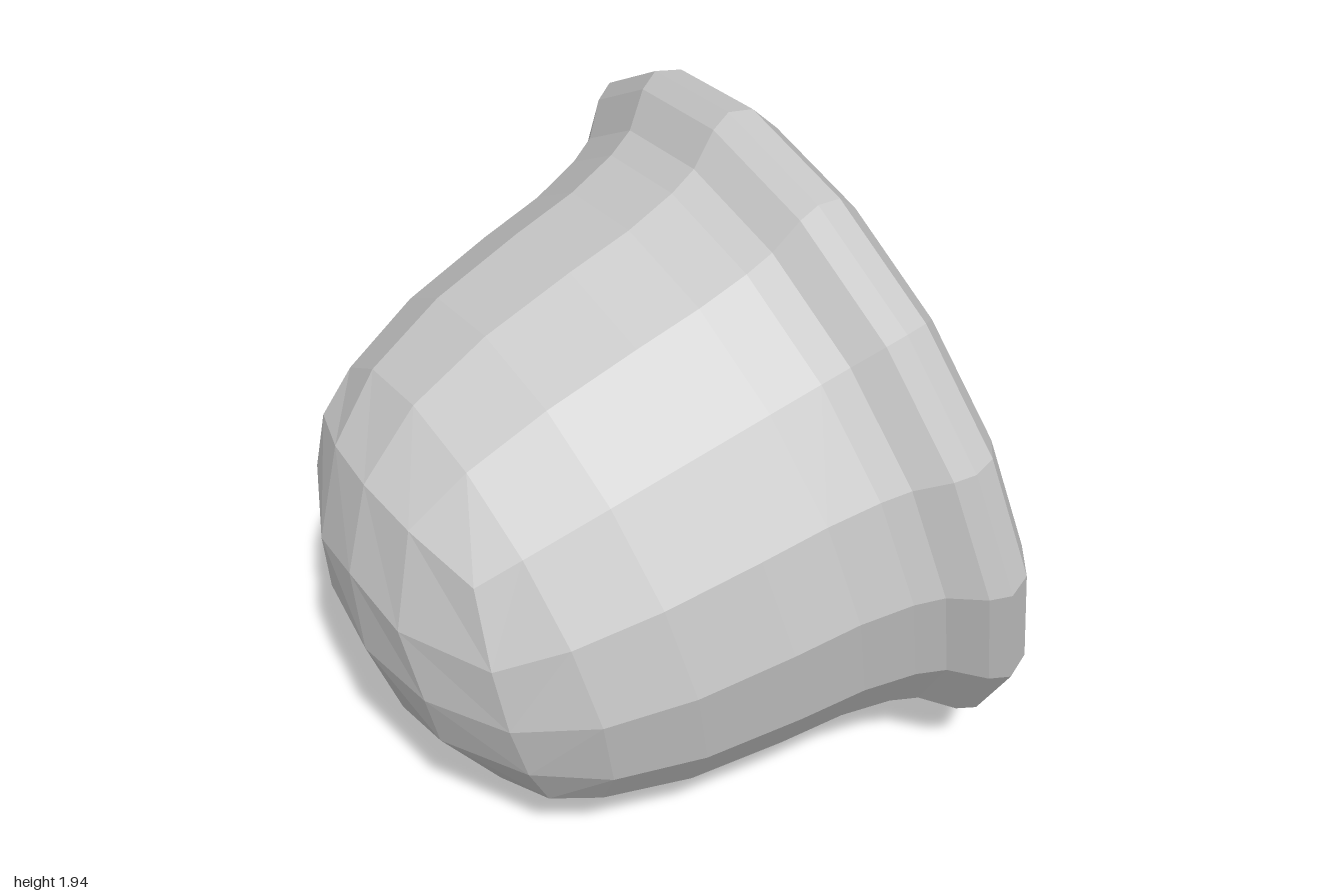
import * as THREE from 'three';

const SIDES = 16;
const material = new THREE.MeshStandardMaterial({ color: 0xcccccc, flatShading: true });

// Point at angle a, radius r and height s along the model's axis
const polar = (a, r, s) => new THREE.Vector3(r * Math.cos(a), s, r * Math.sin(a));

// Round ring of points
const ring = ([s, r]) =>
  Array.from({ length: SIDES }, (_, k) => polar(k * 2 * Math.PI / SIDES, r, s));

function addQuad(out, a, b, c, d) {
  for (const p of [a, b, c, a, c, d]) out.push(p.x, p.y, p.z);
}

// Bands of quads between successive rings, from low to high
function addLoft(out, rings) {
  for (let n = 0; n < rings.length - 1; n++) {
    for (let k = 0; k < SIDES; k++) {
      const m = (k + 1) % SIDES;
      addQuad(out, rings[n][k], rings[n + 1][k], rings[n + 1][m], rings[n][m]);
    }
  }
}

// Domed 4 x 4 quad grid wrapped into a disc; returns its 16 border points.
// radii: middle and border; bulge: extra radius at corners; height: r => s
function addCap(out, radii, bulge, height, up) {
  const border = [];
  const grid = [];
  for (let i = -2; i <= 2; i++) {
    const row = [];
    for (let j = -2; j <= 2; j++) {
      const big = Math.max(Math.abs(i), Math.abs(j));
      if (big === 0) {
        row.push(polar(0, 0, height(0)));
        continue;
      }
      const t = Math.min(Math.abs(i), Math.abs(j)) / big;
      const angle = Math.abs(i) >= Math.abs(j)
        ? (i < 0 ? Math.PI : 0) + Math.PI / 4 * j / i
        : Math.sign(j) * Math.PI / 2 - Math.PI / 4 * i / j;
      const r = radii[big - 1] * (1 + bulge * t * t);
      const p = polar(angle, r, height(r));
      if (big === 2) border[(Math.round(angle * 8 / Math.PI) + SIDES) % SIDES] = p;
      row.push(p);
    }
    grid.push(row);
  }
  for (let i = 0; i < 4; i++) {
    for (let j = 0; j < 4; j++) {
      const q = [grid[i][j], grid[i + 1][j], grid[i + 1][j + 1], grid[i][j + 1]];
      if (up) q.reverse();
      addQuad(out, ...q);
    }
  }
  return border;
}

function makeMesh(name, positions) {
  const geometry = new THREE.BufferGeometry();
  geometry.setAttribute('position', new THREE.Float32BufferAttribute(positions, 3));
  geometry.computeVertexNormals();
  const mesh = new THREE.Mesh(geometry, material);
  mesh.name = name;
  return mesh;
}

export function createModel() {
  const group = new THREE.Group();
  group.name = 'bellKnob';
  const tilted = new THREE.Group();
  tilted.name = 'tiltedBell';

  // Bell body with a rounded end, flaring towards the rim
  const body = [];
  const endBorder = addCap(body, [0.27, 0.515], 0.15,
    r => -1.382 + 0.45 * r ** 2 + 0.5 * r ** 4, false);
  const flare = [
    [-1.036, 0.666], [-0.80, 0.748], [-0.535, 0.795], [-0.35, 0.82],
    [-0.21, 0.857], [-0.135, 0.892], [-0.057, 0.973],
  ];
  addLoft(body, [endBorder, ...flare.map(ring)]);
  tilted.add(makeMesh('bellBody', body));

  // Bevelled rim
  const rim = [];
  addLoft(rim, [[-0.057, 0.973], [-0.005, 1.0], [0.063, 0.97]].map(ring));
  tilted.add(makeMesh('rim', rim));

  // Shallow domed face closing the wide end
  const face = [];
  const faceBorder = addCap(face, [0.365, 0.69], 0.11,
    r => 0.215 - 0.085 * r ** 2 - 0.02 * r ** 4, true);
  addLoft(face, [ring([0.063, 0.97]), ring([0.118, 0.877]), faceBorder]);
  tilted.add(makeMesh('domedFace', face));

  // Lay the axis along +x, tipped slightly upward
  tilted.rotation.z = -1.334;
  tilted.position.set(0.523, 0.973, 0);
  group.add(tilted);
  return group;
}
